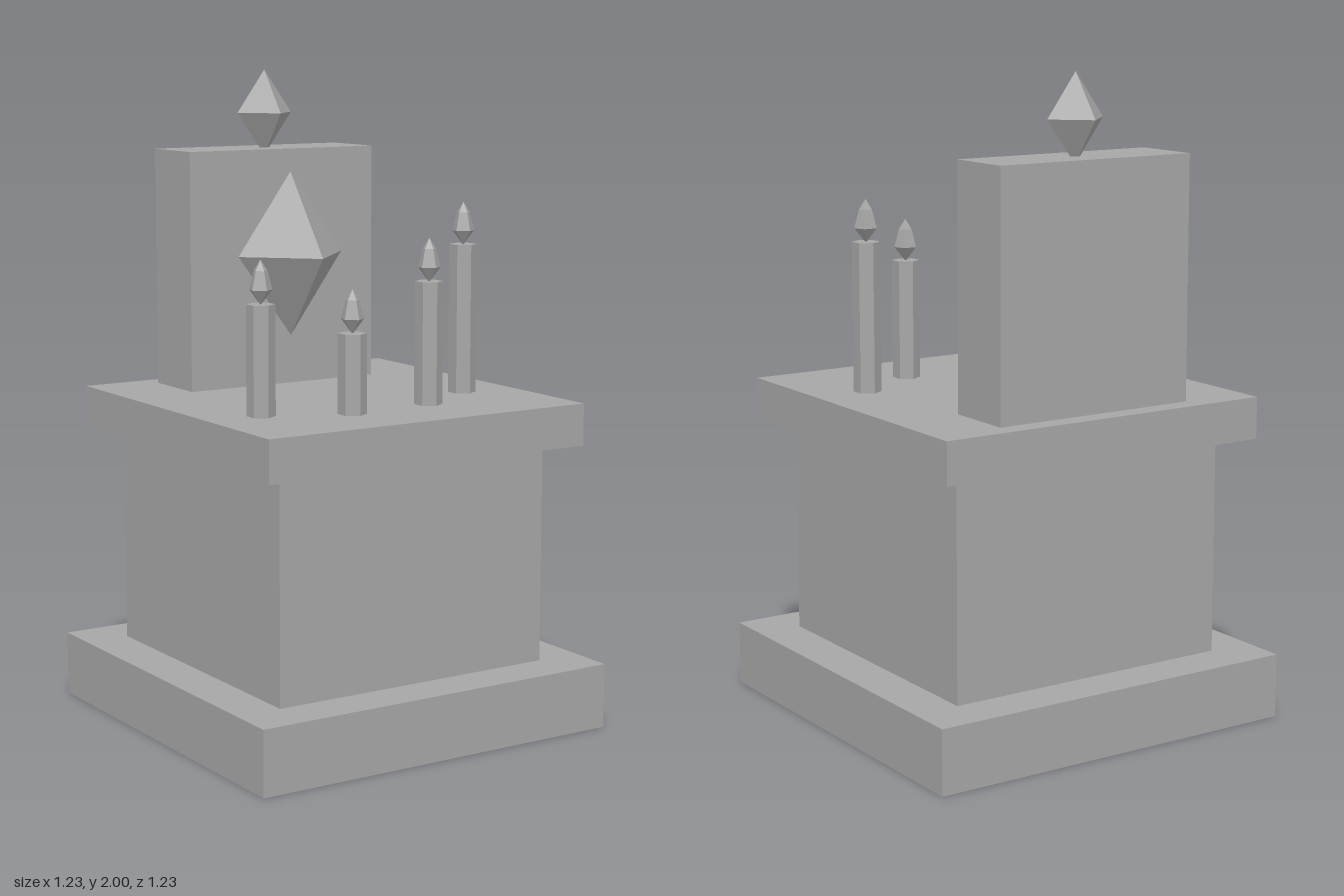
import * as THREE from 'three';

export function createModel() {
  const model = new THREE.Group();
  model.name = 'candleAltar';
  const stone = new THREE.MeshStandardMaterial({ color: 0xa6a6a6 });
  stone.name = 'grey stone';
  stone.flatShading = true;
  stone.side = THREE.DoubleSide;

  function add(name, geometry, x, y, z, parent = model) {
    const mesh = new THREE.Mesh(geometry, stone);
    mesh.name = name;
    mesh.position.set(x, y, z);
    parent.add(mesh);
    return mesh;
  }

  // Block spanning y0 to y1
  function block(name, width, depth, y0, y1, z = 0) {
    return add(name, new THREE.BoxGeometry(width, y1 - y0, depth), 0, (y0 + y1) / 2, z);
  }

  // Stepped pedestal; the base is hollow and open underneath
  const base = block('base', 1.225, 1.225, 0, 0.2);
  const faces = Array.from(base.geometry.index.array);
  faces.splice(18, 6); // drop the bottom face
  base.geometry.setIndex(faces);
  base.geometry.clearGroups();
  block('pedestal', 0.94, 0.94, 0.198, 0.88);
  block('tableTop', 1.115, 1.115, 0.88, 1.01);

  // Upright slab at the back
  block('backSlab', 0.67, 0.222, 1.01, 1.755, -0.381);

  // Tall eight-sided gems
  function gem(name, radius, y, z) {
    add(name, new THREE.OctahedronGeometry(radius), 0, y, z).scale.y = 1.36;
  }
  gem('frontGem', 0.19, 1.428, -0.225);
  gem('topGem', 0.099, 1.865, -0.381);

  // Six-sided candles with faceted flames: x, z, top of the wax
  const flameProfile = [[0, -0.003], [0.036, 0.042], [0.021, 0.098], [0, 0.13]]
    .map(([r, y]) => new THREE.Vector2(r, y));
  const candles = [
    [-0.38, 0.222, 1.34],
    [-0.135, 0.335, 1.25],
    [0.156, 0.31, 1.383],
    [0.378, 0.176, 1.472],
  ];
  for (const [x, z, top] of candles) {
    const candle = new THREE.Group();
    candle.name = 'candle';
    candle.position.set(x, 0, z);
    model.add(candle);
    const height = top - 1.01;
    add('wax', new THREE.CylinderGeometry(0.043, 0.043, height, 6), 0, 1.01 + height / 2, 0, candle);
    add('flame', new THREE.LatheGeometry(flameProfile, 5), 0, top, 0, candle);
  }
  return model;
}
